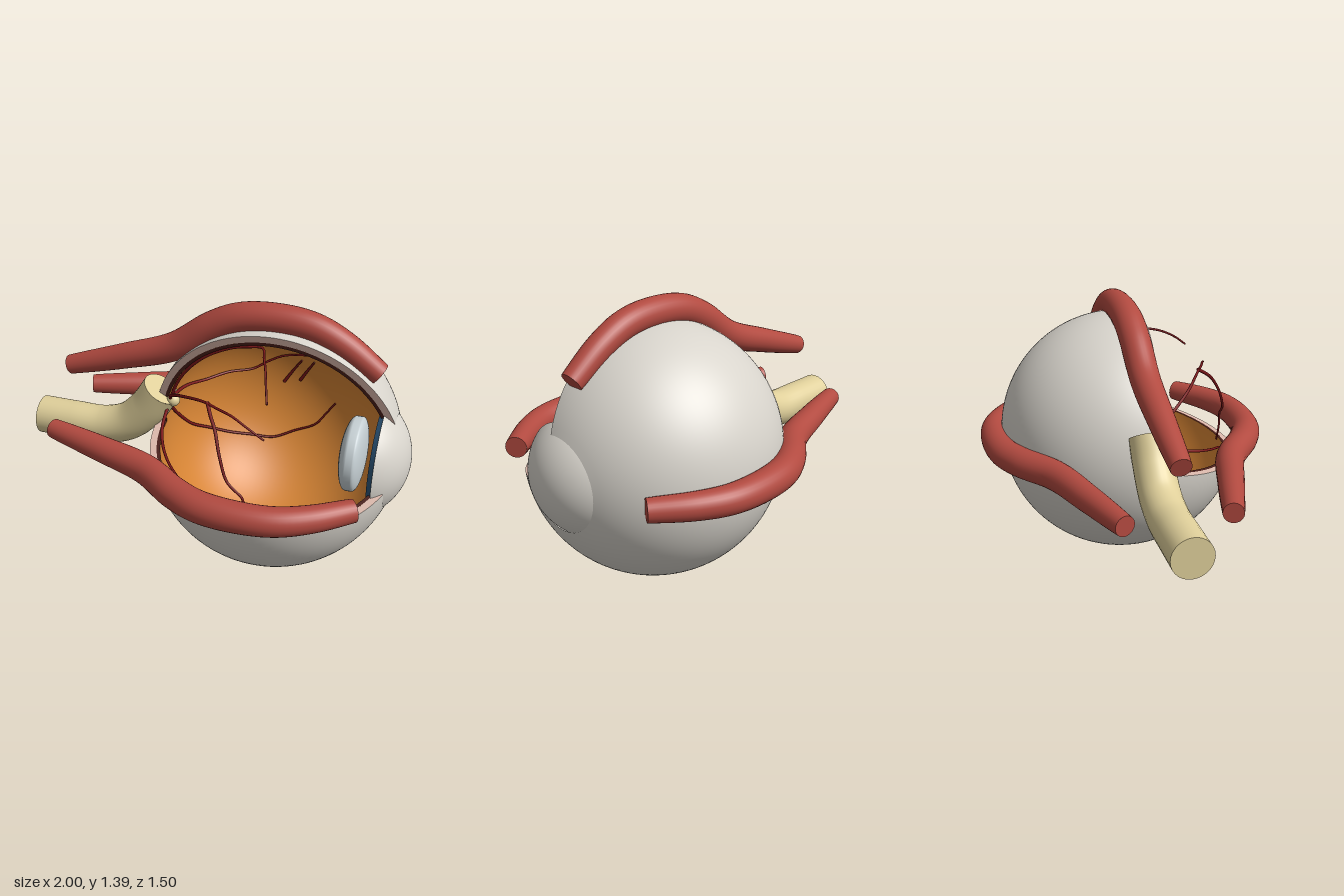
import * as THREE from 'three';
import { mergeGeometries } from 'three/addons/utils/BufferGeometryUtils.js';

const rad = THREE.MathUtils.degToRad;
const V = (x, y, z = 0) => new THREE.Vector3(x, y, z);

function material(name, color, double = false) {
  const m = new THREE.MeshStandardMaterial({ color });
  m.name = name;
  if (double) m.side = THREE.DoubleSide;
  return m;
}

// Tube with a radius that changes along its length and flat ends
function taperedTube(points, radiusAt, segments = 64, sides = 28) {
  const curve = new THREE.CatmullRomCurve3(points);
  const tube = new THREE.TubeGeometry(curve, segments, 1, sides);
  const pos = tube.attributes.position;
  const p = V(0, 0);
  for (let i = 0; i <= segments; i++) {
    const c = curve.getPointAt(i / segments);
    for (let j = 0; j <= sides; j++) {
      const k = i * (sides + 1) + j;
      p.fromBufferAttribute(pos, k).sub(c).multiplyScalar(radiusAt(i / segments)).add(c);
      pos.setXYZ(k, p.x, p.y, p.z);
    }
  }
  const caps = [0, 1].map((t) => {
    const cap = new THREE.CircleGeometry(radiusAt(t), sides);
    const dir = curve.getTangentAt(t).multiplyScalar(t ? 1 : -1);
    cap.applyQuaternion(new THREE.Quaternion().setFromUnitVectors(V(0, 0, 1), dir));
    const c = curve.getPointAt(t);
    return cap.translate(c.x, c.y, c.z);
  });
  return mergeGeometries([tube, ...caps]);
}

// Lathe about the x axis; points are [x, radius] running towards +x
function latheX(points, start = 0, length = Math.PI * 2, sides = 96) {
  const pts = points.map(([x, r]) => new THREE.Vector2(Math.max(r, 0), x));
  return new THREE.LatheGeometry(pts, sides, start, length).rotateZ(-Math.PI / 2);
}

// Points on a circle, angles measured from +x
function arc(r, from, to, n = 48, cx = 0) {
  return Array.from({ length: n + 1 }, (_, i) => {
    const a = rad(from + ((to - from) * i) / n);
    return [cx + r * Math.cos(a), r * Math.sin(a)];
  });
}

export function createModel() {
  const white = material('scleraWhite', 0xd8d4cc, true);
  const pink = material('cutPink', 0xdcb9ac, true);
  const brown = material('choroidBrown', 0x4a1f1a, true);
  const orange = material('retinaOrange', 0xd68434, true);
  const red = material('muscleRed', 0xb24a40);
  const cream = material('nerveCream', 0xdfcf9a);
  const vesselRed = material('vesselRed', 0x7a1518);
  const blue = material('irisBlue', 0x2c5578, true);
  const lensGrey = material('lensGrey', 0xc6d0d4, true);

  const model = new THREE.Group();
  const eye = new THREE.Group();
  eye.name = 'eye';
  eye.position.set(0.31, 0.64, 0);
  model.add(eye);
  const add = (name, geometry, mat) => {
    const mesh = new THREE.Mesh(geometry, mat);
    mesh.name = name;
    eye.add(mesh);
    return mesh;
  };

  // Wall of the eyeball with a wedge left open towards the front
  const wedgeLow = -12, wedgeHigh = 80;
  const start = rad(-wedgeLow), sweep = rad(360 - (wedgeHigh - wedgeLow));
  add('sclera', latheX(arc(0.64, 180, 21.5), start, sweep), white);
  add('retina', latheX(arc(0.587, 180, 24.5), start, sweep), orange);

  // Cut faces of the wall layers
  const layers = [['scleraCut', 0.64, 0.605, pink], ['choroidCut', 0.605, 0.587, brown]];
  for (const [name, outer, inner, mat] of layers) {
    const outline = [...arc(outer, 180, 21.5), ...arc(inner, 24, 180)];
    const shape = new THREE.Shape(outline.map(([x, y]) => new THREE.Vector2(x, y)));
    for (const angle of [wedgeLow, wedgeHigh]) {
      add(name, new THREE.ShapeGeometry(shape).rotateX(rad(90 - angle)), mat);
    }
  }

  // Cornea dome, iris ring and lens
  add('cornea', latheX(arc(0.33, 57, 0, 24, 0.36)), white);
  add('iris', latheX([[0.515, 0.1], [0.515, 0.25], [0.515, 0.25], [0.54, 0.265],
    [0.54, 0.265], [0.54, 0.1]]), blue);
  const lens = [];
  for (let i = 0; i <= 12; i++) {
    const a = (i / 12) * Math.PI / 2;
    lens.push([0.395 - 0.055 * Math.cos(a), 0.19 * Math.sin(a)]);
  }
  for (let i = 0; i <= 12; i++) {
    const a = (i / 12) * Math.PI / 2;
    lens.push([0.425 + 0.045 * Math.sin(a), 0.19 * Math.cos(a)]);
  }
  add('lens', latheX(lens, 0, Math.PI * 2, 48), lensGrey);

  // Three muscles: one above and one on each side
  const musclePath = [[-1.12, 0.25], [-0.81, 0.35], [-0.53, 0.45], [-0.33, 0.59],
    [-0.19, 0.655], [0, 0.677], [0.17, 0.658], [0.32, 0.59], [0.495, 0.465]];
  const muscleRadius = (t) => 0.05 + 0.005 * t + 0.024 * Math.pow(Math.sin(Math.PI * t), 0.8);
  const muscle = taperedTube(musclePath.map(([x, y]) => V(x, y)),
    (t) => muscleRadius(Math.min(Math.max(t, 0), 0.9999)));
  const muscles = [['upperMuscle', 0], ['frontMuscle', 90], ['backMuscle', -90]];
  for (const [name, angle] of muscles) {
    add(name, muscle, red).rotation.x = rad(angle);
  }

  // Optic nerve and its small head
  add('opticNerve', taperedTube([V(-1.31, -0.09), V(-1.12, -0.09), V(-0.94, -0.085),
    V(-0.8, -0.035), V(-0.69, 0.07), V(-0.61, 0.19)], () => 0.102), cream);
  const head = add('nerveHead', new THREE.SphereGeometry(0.035, 24, 16), cream);
  head.position.set(-0.54, 0.15, 0.02);

  // Blood vessels laid just inside the retina
  const vessels = [
    [[-0.54, 0.15, 0.02], [-0.5, 0.24, 0.13], [-0.26, 0.38, 0.36], [-0.1, 0.37, 0.43], [0.07, 0.31, 0.49]],
    [[-0.54, 0.15, 0.02], [-0.42, 0.35, 0.05], [-0.2, 0.52, 0.08], [-0.05, 0.56, 0.1], [0, 0.52, 0.23], [0.05, 0.43, 0.38]],
    [[-0.24, 0.38, 0.36], [-0.17, 0.3, 0.46], [-0.08, 0.1, 0.55], [0, 0.03, 0.57], [0, -0.13, 0.56]],
    [[-0.54, 0.1, 0.05], [-0.5, 0.04, 0.27], [-0.35, -0.02, 0.45], [-0.25, -0.1, 0.5]],
    [[-0.54, 0.15, 0], [-0.45, 0.1, -0.3], [-0.26, 0.11, -0.5], [-0.1, 0.2, -0.53], [0.08, 0.23, -0.52]],
    [[-0.54, 0.1, 0], [-0.5, -0.12, -0.2], [-0.35, -0.25, -0.38], [-0.13, -0.3, -0.48], [0.1, -0.2, -0.53], [0.2, -0.05, -0.53]],
    [[-0.1, 0.02, -0.57], [0, 0.18, -0.55]],
    [[-0.01, 0.04, -0.57], [0.07, 0.18, -0.54]],
    [[-0.08, 0.55, -0.08], [0, 0.47, -0.33]],
    [[-0.04, 0.57, -0.03], [0.05, 0.49, -0.3]],
  ];
  vessels.forEach((path) => {
    const points = path.map((p) => V(...p).setLength(0.576));
    // extra midpoints keep long spans on the curved wall
    const dense = points.flatMap((p, i) => (i + 1 < points.length
      ? [p, p.clone().lerp(points[i + 1], 0.5).setLength(0.576)] : [p]));
    add('vessel', taperedTube(dense, (t) => 0.009 - 0.004 * t, 40, 8), vesselRed);
  });

  return model;
}
